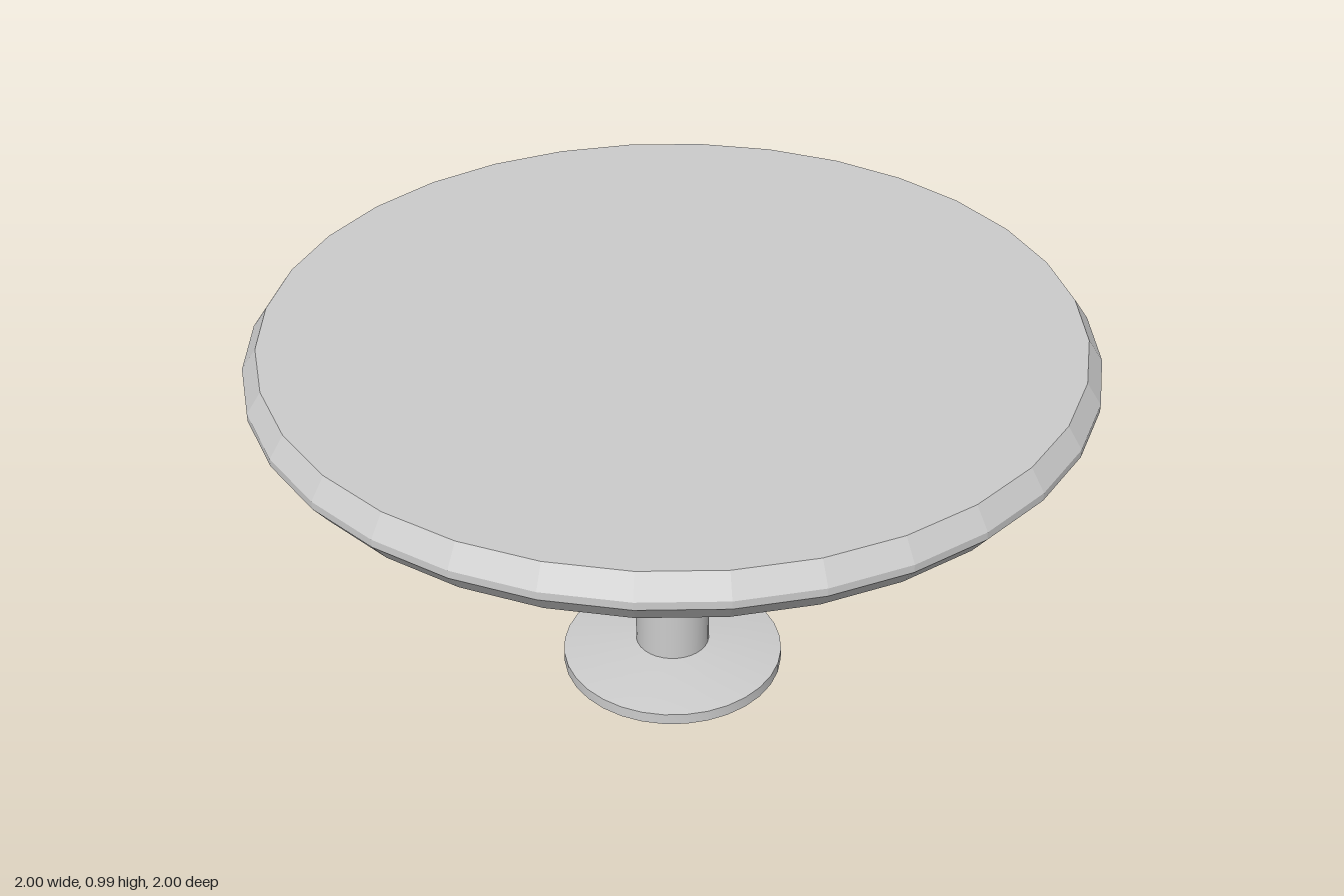
import * as THREE from 'three';
import { toCreasedNormals } from 'three/addons/utils/BufferGeometryUtils.js';

const SIDES = 32;

// Turned part from [radius, height] pairs listed bottom to top
function turned(name, profile, material, creaseAngle) {
  const points = profile.map(([r, y]) => new THREE.Vector2(r, y));
  const geometry = toCreasedNormals(new THREE.LatheGeometry(points, SIDES), creaseAngle);
  const mesh = new THREE.Mesh(geometry, material);
  mesh.name = name;
  return mesh;
}

export function createModel() {
  const group = new THREE.Group();
  group.name = 'pedestalTable';
  const grey = new THREE.MeshStandardMaterial({ color: 0xcccccc });
  grey.name = 'lightGrey';

  // Faceted top: shallow conical underside, bevelled rim, flat surface
  group.add(turned('tableTop', [
    [0, 0.793], [0.094, 0.793], [0.962, 0.868], [1, 0.917],
    [1, 0.936], [0.965, 0.987], [0, 0.987],
  ], grey, 0.01));

  // Smooth round column
  const column = new THREE.Mesh(
    new THREE.CylinderGeometry(0.094, 0.094, 0.75, SIDES, 1, true), grey);
  column.name = 'column';
  column.position.y = 0.43;
  group.add(column);

  // Foot disc with a gently sloping upper face
  group.add(turned('foot', [
    [0, 0], [0.281, 0], [0.281, 0.03], [0.094, 0.058], [0, 0.058],
  ], grey, 0.4));

  return group;
}
